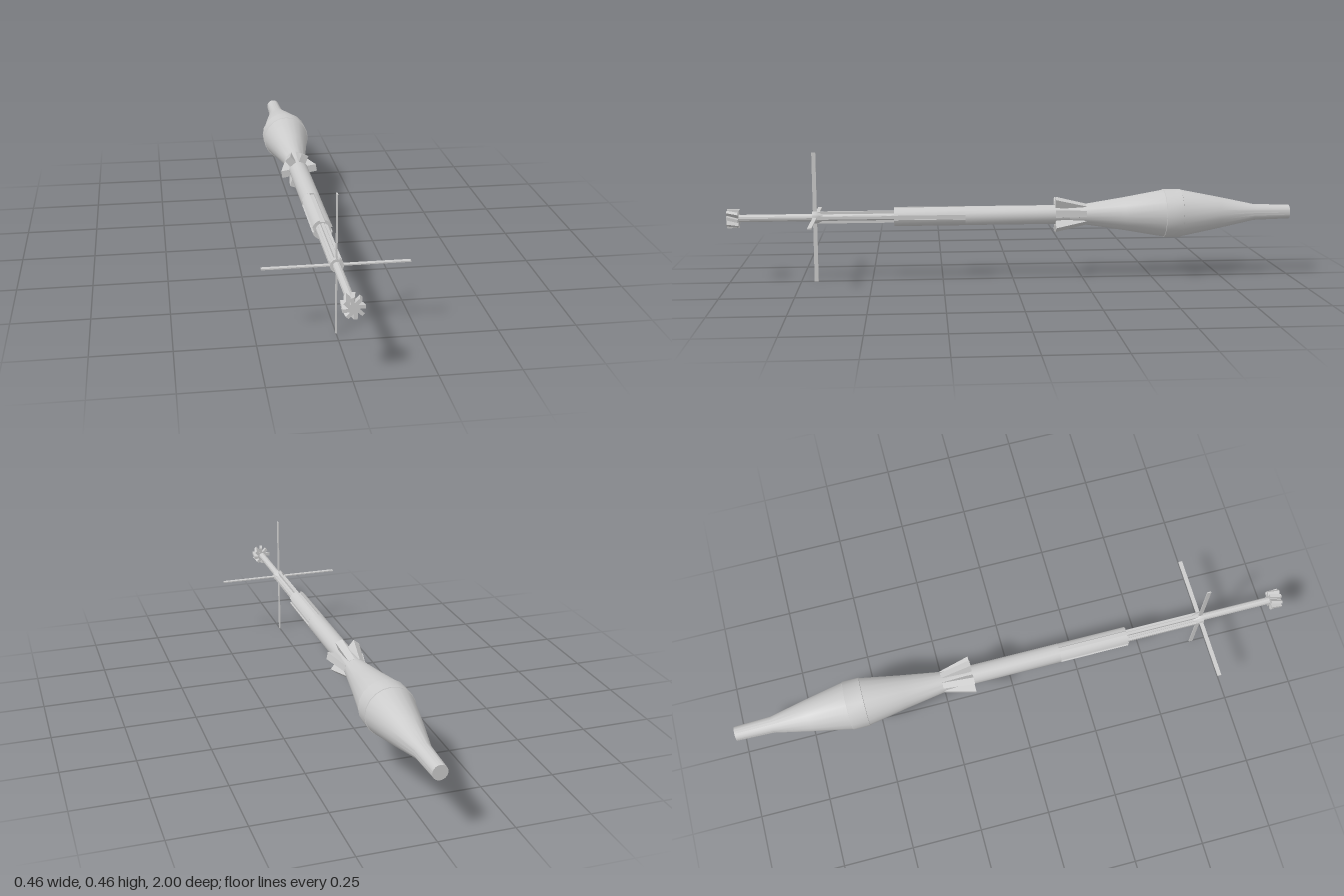
import * as THREE from 'three';
import { toCreasedNormals } from 'three/addons/utils/BufferGeometryUtils.js';

const AXIS_Y = 0.229;

export function createModel() {
  const model = new THREE.Group();
  const body = new THREE.Group();
  body.name = 'rocket';
  body.position.y = AXIS_Y;
  model.add(body);
  const material = new THREE.MeshStandardMaterial({ color: 0xcccccc });

  const add = (name, geometry, parent = body) => {
    const mesh = new THREE.Mesh(geometry, material);
    mesh.name = name;
    parent.add(mesh);
    return mesh;
  };

  // Turned part along z, from [z, radius] pairs in ascending z
  const turned = (name, profile, sides) => {
    const points = profile.map(([z, r]) => new THREE.Vector2(r, z));
    const geometry = new THREE.LatheGeometry(points, sides).rotateX(Math.PI / 2);
    return add(name, toCreasedNormals(geometry, 0.5));
  };

  // Copies of a part spaced around the long axis
  const ring = (name, geometry, count, start = 0) => {
    const group = new THREE.Group();
    group.name = name + 's';
    body.add(group);
    for (let i = 0; i < count; i++) {
      add(name, geometry, group).rotation.z = start + (i * Math.PI * 2) / count;
    }
  };

  // Box running along z whose ends differ: [inner radius, outer radius, width, sideways shift]
  const taperedBox = (zBack, zFront, back, front) => {
    const geometry = new THREE.BoxGeometry(1, 1, 1).toNonIndexed();
    const p = geometry.attributes.position;
    for (let i = 0; i < p.count; i++) {
      const isFront = p.getZ(i) > 0;
      const [inner, outer, width, shift] = isFront ? front : back;
      p.setXYZ(i, p.getX(i) > 0 ? outer : inner, p.getY(i) * width + shift, isFront ? zFront : zBack);
    }
    geometry.computeVertexNormals();
    return geometry;
  };

  // Warhead with its fuse tip
  turned('warhead', [
    [-1, 0], [-1, 0.025], [-0.87, 0.029], [-0.74, 0.057], [-0.6, 0.085],
    [-0.54, 0.085], [-0.4, 0.06], [-0.25, 0.036], [-0.2, 0.034], [-0.2, 0],
  ], 20);
  turned('warheadBand', [[-0.602, 0.083], [-0.6, 0.087], [-0.54, 0.087], [-0.538, 0.083]], 20);

  // Flared nozzles behind the warhead
  ring('nozzle', taperedBox(-0.26, -0.15, [0.02, 0.037, 0.022, 0], [0.034, 0.065, 0.026, 0]),
    6, THREE.MathUtils.degToRad(10));

  // Motor tube
  turned('motorTube', [[-0.22, 0.034], [0.17, 0.034], [0.17, 0]], 16);

  // Slotted, hollow end of the motor tube
  const section = new THREE.Shape();
  const R = 0.034, half = 0.008, floor = 0.027;
  for (let k = 0; k < 4; k++) {
    const turn = (k * Math.PI) / 2;
    const put = (x, y) => {
      const px = x * Math.cos(turn) - y * Math.sin(turn);
      const py = x * Math.sin(turn) + y * Math.cos(turn);
      if (section.curves.length || section.currentPoint.length()) section.lineTo(px, py);
      else section.moveTo(px, py);
    };
    put(floor, -half);
    put(floor, half);
    const edge = Math.asin(half / R);
    for (let i = 0; i <= 4; i++) {
      const a = edge + (i / 4) * (Math.PI / 2 - 2 * edge);
      put(R * Math.cos(a), R * Math.sin(a));
    }
  }
  section.closePath();
  const bore = new THREE.Path();
  bore.absarc(0, 0, 0.023, 0, Math.PI * 2, true);
  section.holes.push(bore);
  const slotted = new THREE.ExtrudeGeometry(section, { depth: 0.25, bevelEnabled: false, curveSegments: 12 });
  slotted.translate(0, 0, 0.17);
  add('slottedTube', toCreasedNormals(slotted, 0.5));

  // Tail boom with its four ribs
  turned('tailBoom', [[0.17, 0.013], [1, 0.013], [1, 0]], 12);
  ring('boomRib', taperedBox(0.17, 0.69, [0.005, 0.021, 0.01, 0], [0.005, 0.021, 0.01, 0]), 4);

  // Fin hub and thin spread fins
  turned('finHub', [[0.67, 0.013], [0.69, 0.022], [0.706, 0.022], [0.706, 0.012]], 12);
  ring('fin', taperedBox(0.69, 0.704, [0.01, 0.229, 0.004, 0], [0.01, 0.229, 0.004, 0]), 4);

  // Tail turbine with canted vanes
  turned('turbineHub', [[0.96, 0.012], [0.96, 0.018], [1, 0.018], [1, 0]], 8);
  ring('turbineVane', taperedBox(0.96, 1, [0.01, 0.033, 0.011, -0.005], [0.01, 0.033, 0.011, 0.005]), 8);

  return model;
}
